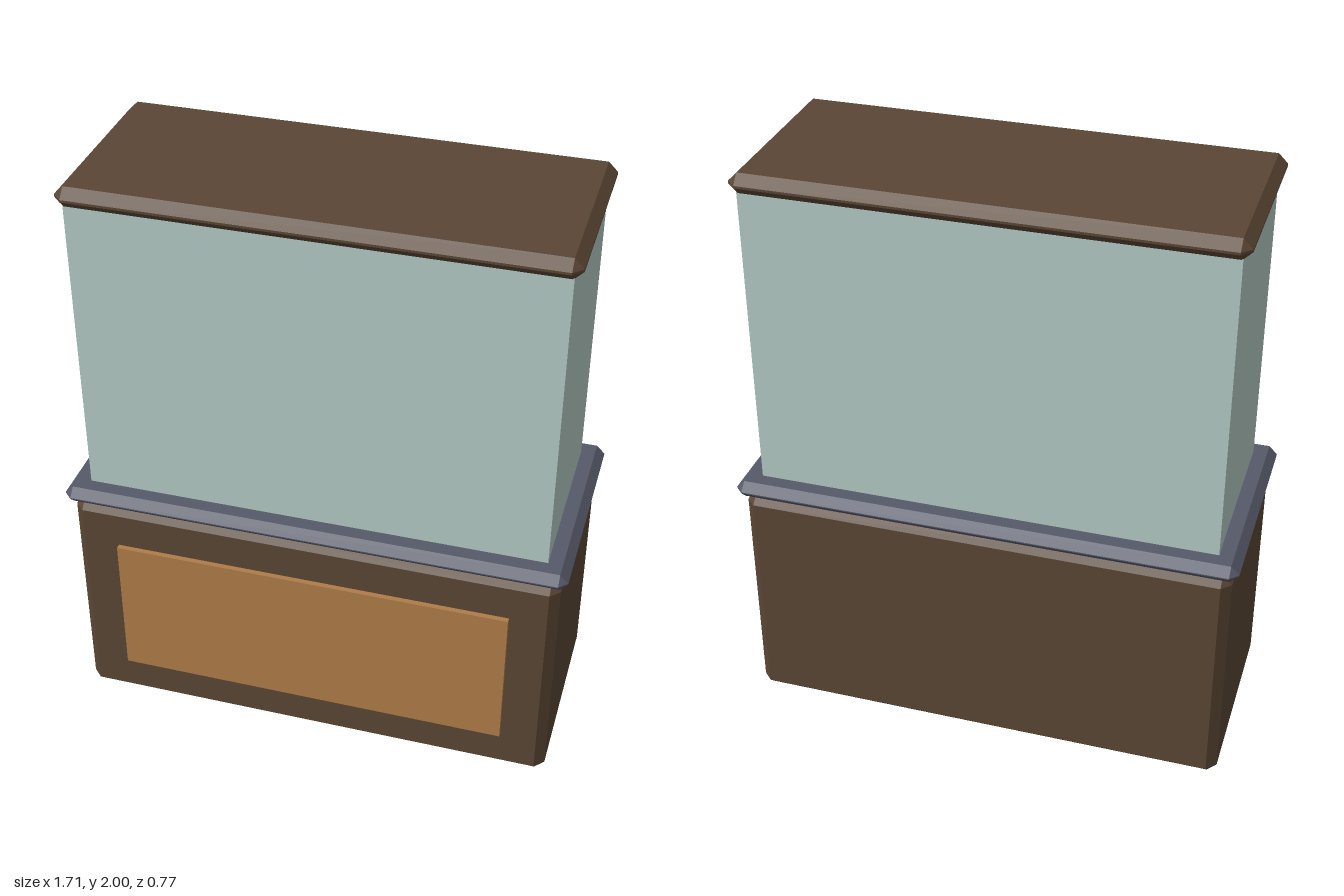
import * as THREE from 'three';
import { ConvexGeometry } from 'three/addons/geometries/ConvexGeometry.js';

function material(name, color) {
  const m = new THREE.MeshStandardMaterial({ color });
  m.name = name;
  return m;
}

// Box with every edge and corner cut at 45 degrees
function chamferedBox(w, h, d, c) {
  const points = [];
  for (const sx of [-1, 1]) for (const sy of [-1, 1]) for (const sz of [-1, 1]) {
    const x = w / 2, y = h / 2, z = d / 2;
    points.push(
      new THREE.Vector3(sx * x, sy * (y - c), sz * (z - c)),
      new THREE.Vector3(sx * (x - c), sy * y, sz * (z - c)),
      new THREE.Vector3(sx * (x - c), sy * (y - c), sz * z)
    );
  }
  return new ConvexGeometry(points);
}

export function createModel() {
  const wood = material('dark wood', 0x5a4634);
  const panelWood = material('light wood', 0xb07c48);
  const metal = material('slate metal', 0x565969);
  const glass = material('pale glass', 0xb4cac4);

  const model = new THREE.Group();
  model.name = 'displayCase';

  // Adds a part resting between heights y0 and y1
  function add(name, geometry, mat, y0, y1, z = 0) {
    const mesh = new THREE.Mesh(geometry, mat);
    mesh.name = name;
    mesh.position.set(0, (y0 + y1) / 2, z);
    model.add(mesh);
  }

  // Cabinet and its front panel
  add('base', chamferedBox(1.66, 0.835, 0.724, 0.032), wood, 0, 0.835);
  add('frontPanel', new THREE.BoxGeometry(1.35, 0.52, 0.03), panelWood, 0.16, 0.68, 0.365);

  // Counter rim, glass box and lid
  add('rim', chamferedBox(1.706, 0.06, 0.772, 0.028), metal, 0.835, 0.895);
  add('glassCase', new THREE.BoxGeometry(1.556, 1.08, 0.62), glass, 0.87, 1.95);
  add('lid', chamferedBox(1.608, 0.07, 0.674, 0.031), wood, 1.93, 2);

  return model;
}
